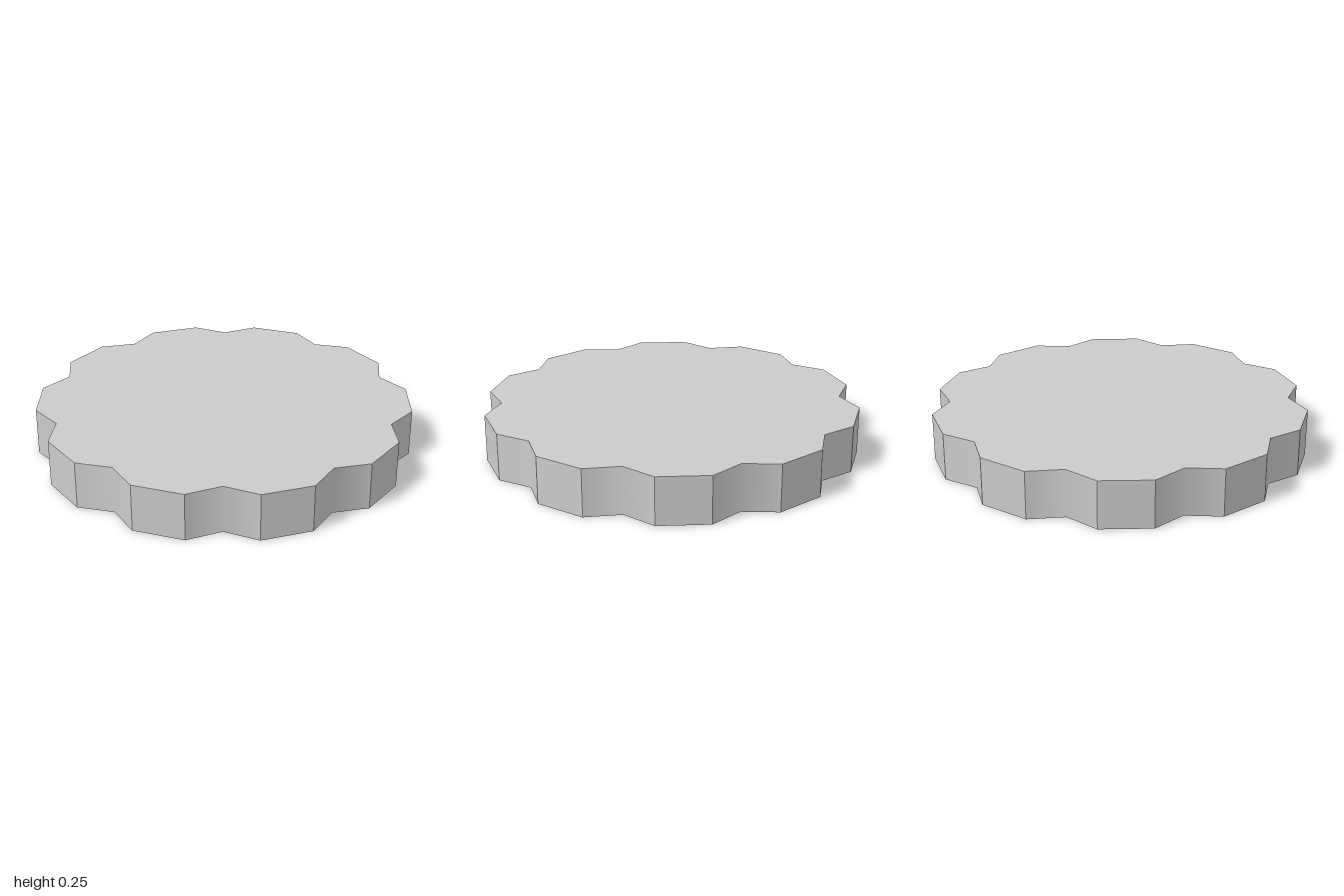
import * as THREE from 'three';

const LOBES = 10, TIP_RADIUS = 1.009, NOTCH_RADIUS = 0.917, HEIGHT = 0.255;
const TIP_ANGLE = THREE.MathUtils.degToRad(7.75);

export function createModel() {
  const group = new THREE.Group();
  group.name = 'scallopedDisc';

  // Outline: each lobe has two tip corners followed by a notch
  const points = [];
  const add = (r, a) => points.push(new THREE.Vector2(r * Math.cos(a), r * Math.sin(a)));
  const step = (Math.PI * 2) / LOBES;
  for (let i = 0; i < LOBES; i++) {
    const a = Math.PI / 2 + i * step;
    add(TIP_RADIUS, a - TIP_ANGLE);
    add(TIP_RADIUS, a + TIP_ANGLE);
    add(NOTCH_RADIUS, a + step / 2);
  }

  const geometry = new THREE.ExtrudeGeometry(new THREE.Shape(points), { depth: HEIGHT, bevelEnabled: false });
  geometry.rotateX(-Math.PI / 2);

  // Smooth the rim across each notch; tip corners and flat caps stay sharp
  const pos = geometry.attributes.position, normal = geometry.attributes.normal;
  for (let i = 0; i < pos.count; i++) {
    const r = Math.hypot(pos.getX(i), pos.getZ(i));
    if (Math.abs(normal.getY(i)) < 0.5 && r < (TIP_RADIUS + NOTCH_RADIUS) / 2) {
      normal.setXYZ(i, pos.getX(i) / r, 0, pos.getZ(i) / r);
    }
  }

  const disc = new THREE.Mesh(geometry, new THREE.MeshStandardMaterial({ color: 0xcccccc }));
  disc.name = 'disc';
  group.add(disc);
  return group;
}
